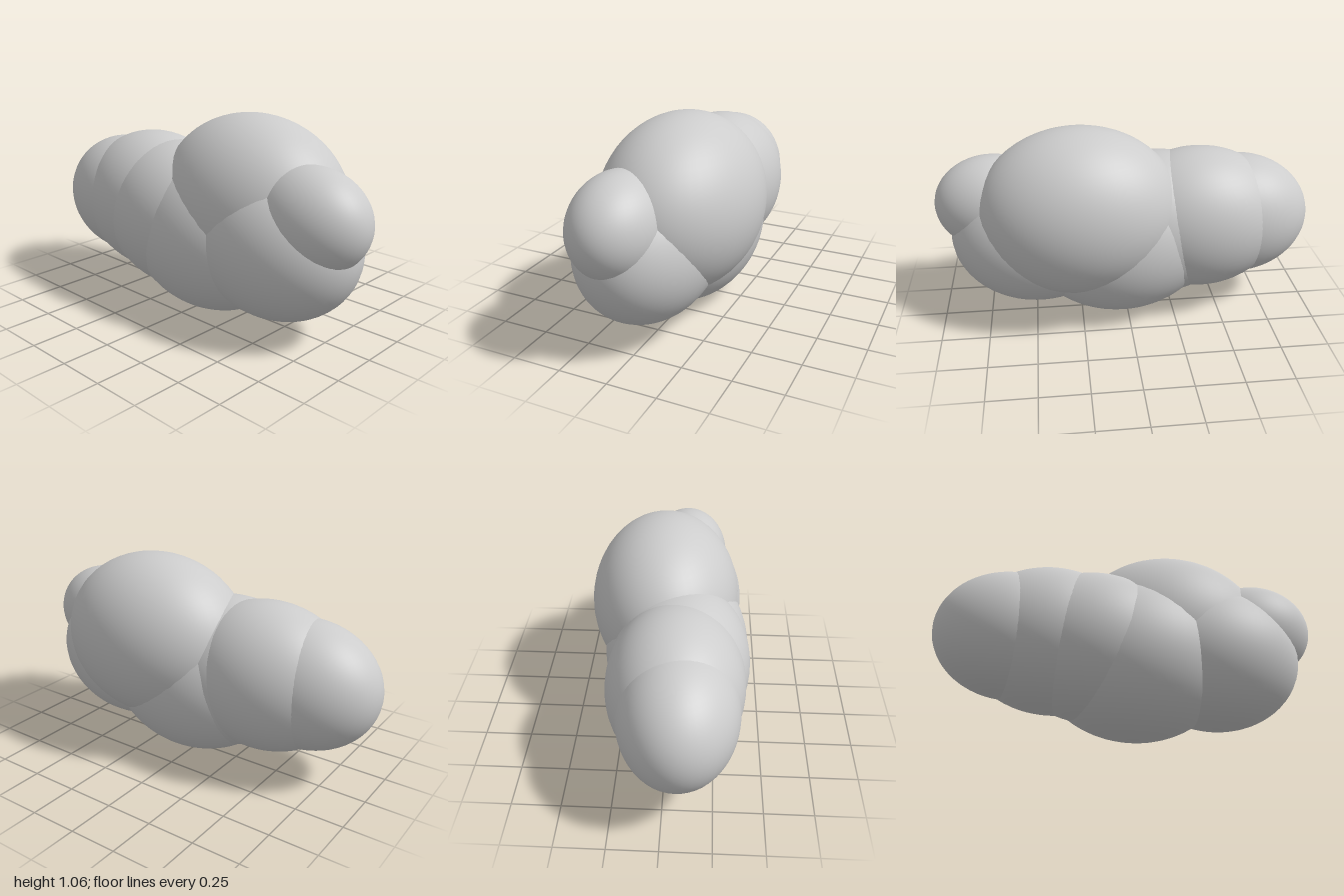
import * as THREE from 'three';

// Every puff is the same squashed ball at a different size
const PROPORTION = { x: 1.19, y: 1, z: 0.888 };

// name, centre x, y, z, vertical radius
const PUFFS = [
  ['crownPuff', 0.25, 0.62, -0.03, 0.446],
  ['basePuff', 0.035, 0.434, 0.04, 0.43],
  ['lowerLeftPuff', 0.47, 0.468, 0.05, 0.384],
  ['smallLeftPuff', 0.695, 0.64, 0.077, 0.256],
  ['innerRightPuff', -0.17, 0.48, 0.07, 0.4],
  ['middleRightPuff', -0.395, 0.51, 0.05, 0.39],
  ['rightEndPuff', -0.6, 0.511, 0.07, 0.335],
];

export function createModel() {
  const cloud = new THREE.Group();
  cloud.name = 'cloud';
  const cloudGrey = new THREE.MeshStandardMaterial({ color: 0xcccccc });
  cloudGrey.name = 'cloudGrey';
  const ball = new THREE.SphereGeometry(1, 48, 32);

  // Overlapping puffs
  for (const [name, x, y, z, r] of PUFFS) {
    const puff = new THREE.Mesh(ball, cloudGrey);
    puff.name = name;
    puff.position.set(x, y, z);
    puff.scale.set(r * PROPORTION.x, r * PROPORTION.y, r * PROPORTION.z);
    cloud.add(puff);
  }
  return cloud;
}
